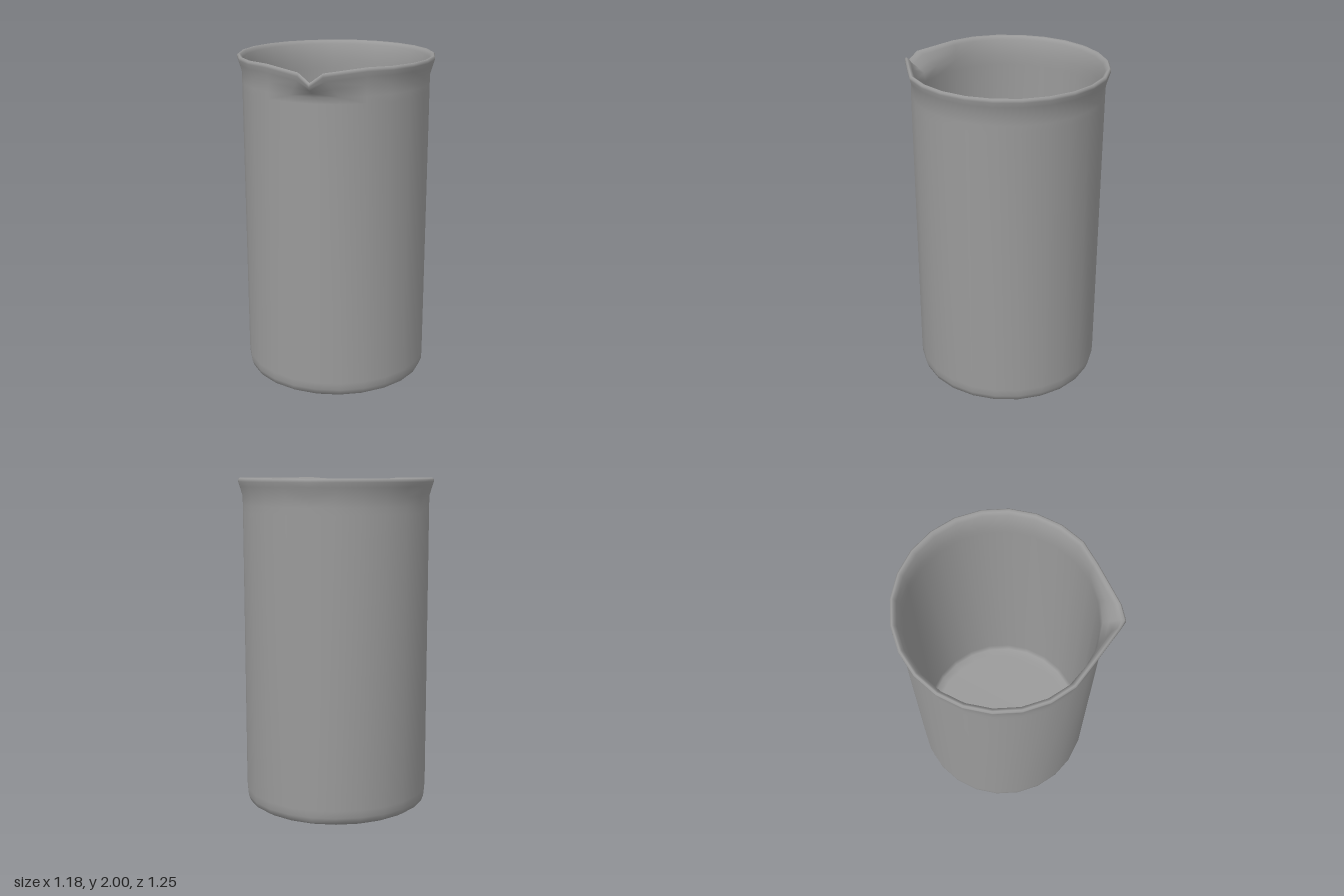
import * as THREE from 'three';
import { mergeVertices } from 'three/addons/utils/BufferGeometryUtils.js';

const SIDES = 24;

// Wall profile, outside bottom to inside bottom: radius, height, spout pull
const PROFILE = [
  [0, 0, 0], [0.48, 0, 0], [0.52, 0.005, 0], [0.548, 0.022, 0], [0.56, 0.055, 0], [0.563, 0.1, 0],
  [0.563, 1.8, 0], [0.563, 1.84, 0.05], [0.564, 1.895, 0.45], [0.58, 1.95, 0.9],
  [0.589, 1.978, 1], [0.589, 1.992, 1], [0.58, 2, 1], [0.568, 1.995, 0.95],
  [0.556, 1.975, 0.8], [0.545, 1.93, 0.45], [0.538, 1.88, 0.1], [0.537, 1.82, 0],
  [0.537, 0.1, 0], [0.525, 0.05, 0], [0.48, 0.03, 0], [0, 0.03, 0],
];

// Shift of the rim at each side step away from the spout: width factor, forward, down
const SPOUT = [[0, 0.077, 0.07], [0.46, 0.065, 0.02], [0.98, -0.01, 0]];

export function createModel() {
  const group = new THREE.Group();
  group.name = 'beaker';

  const points = PROFILE.map(([r, y]) => new THREE.Vector2(r, y));
  let geometry = new THREE.LatheGeometry(points, SIDES);

  // Pinch the front of the rim into a pouring spout
  const pos = geometry.attributes.position;
  for (let i = 0; i < pos.count; i++) {
    const step = Math.floor(i / PROFILE.length);
    const pull = PROFILE[i % PROFILE.length][2];
    const shift = SPOUT[Math.min(step, SIDES - step)];
    if (!shift || !pull) continue;
    const [width, forward, down] = shift;
    pos.setXYZ(
      i,
      pos.getX(i) * (1 + (width - 1) * pull),
      pos.getY(i) - down * pull,
      pos.getZ(i) + forward * pull,
    );
  }

  // Turn the quad diagonals of the right half so both sides of the spout mirror
  const index = geometry.index.array;
  for (let k = index.length / 2; k < index.length; k += 6) {
    const [a, b, d, c] = index.slice(k, k + 4);
    index.set([a, b, c, a, c, d], k);
  }

  // Weld the seam so the whole surface shades smoothly
  geometry.deleteAttribute('uv');
  geometry.deleteAttribute('normal');
  geometry = mergeVertices(geometry, 1e-4);
  geometry.computeVertexNormals();

  const glass = new THREE.Mesh(
    geometry,
    new THREE.MeshStandardMaterial({ color: 0x9a9a9a, side: THREE.DoubleSide }),
  );
  glass.name = 'spoutedGlass';
  glass.position.z = -0.04;
  group.add(glass);
  return group;
}
